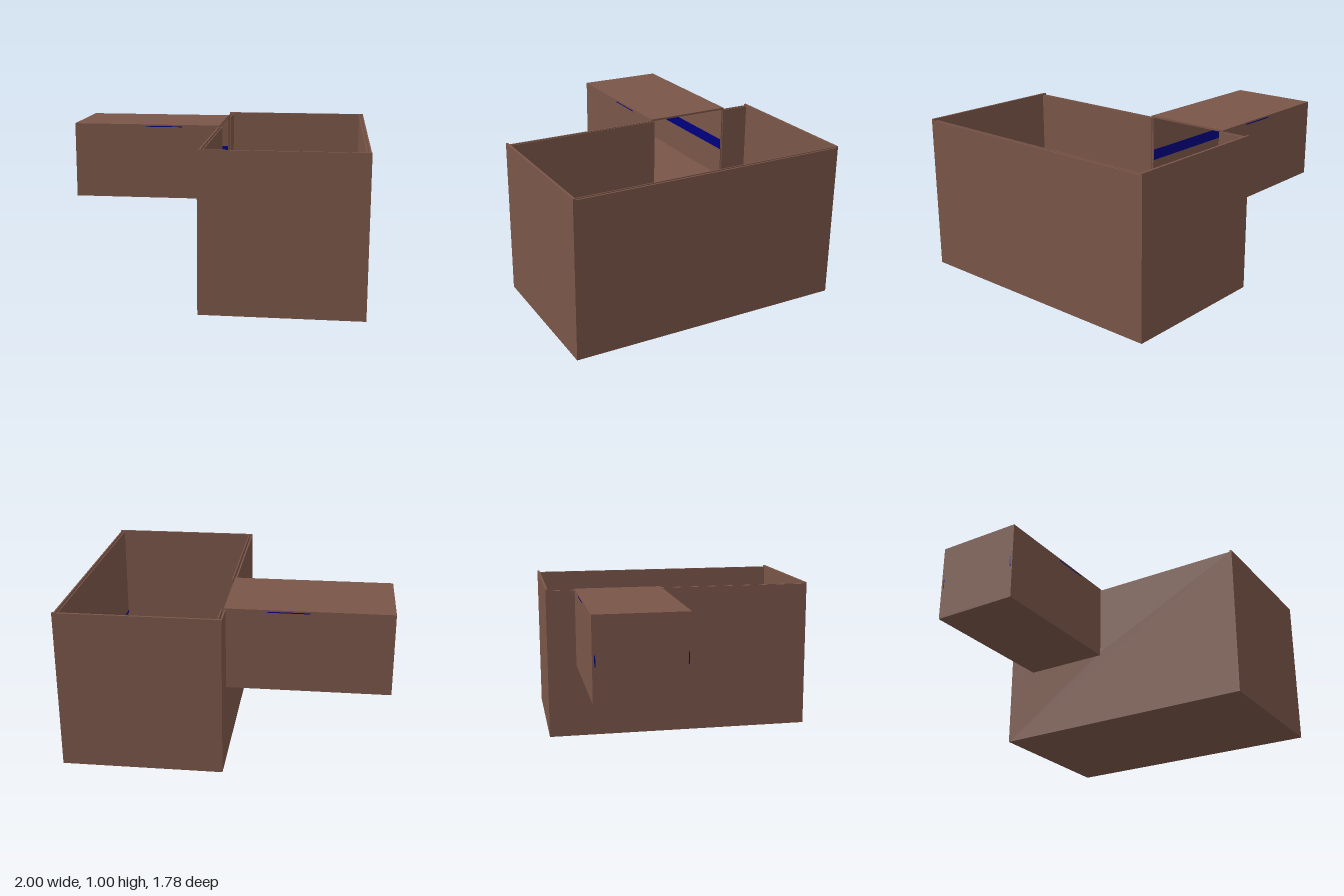
import * as THREE from 'three';

const brown = new THREE.MeshStandardMaterial({ color: 0x795548 });
const navy = new THREE.MeshStandardMaterial({ color: 0x000080 });

// Box given by its lower and upper corners
function block(parent, name, [x0, y0, z0], [x1, y1, z1], material = brown) {
  const mesh = new THREE.Mesh(new THREE.BoxGeometry(x1 - x0, y1 - y0, z1 - z0), material);
  mesh.position.set((x0 + x1) / 2, (y0 + y1) / 2, (z0 + z1) / 2);
  mesh.name = name;
  parent.add(mesh);
}

// Upright panel in the YZ plane, optionally notched from its top edge
function sidePanel(parent, name, x, thickness, depth, notch) {
  const points = [[-depth, 0], [depth, 0], [depth, 0.99]];
  if (notch) points.push([notch.z1, 0.99], [notch.z1, notch.y], [notch.z0, notch.y], [notch.z0, 0.99]);
  points.push([-depth, 0.99]);
  const shape = new THREE.Shape(points.map(([z, y]) => new THREE.Vector2(-z, y)));
  const geometry = new THREE.ExtrudeGeometry(shape, { depth: thickness, bevelEnabled: false });
  geometry.rotateY(Math.PI / 2);
  const mesh = new THREE.Mesh(geometry, brown);
  mesh.position.x = x;
  mesh.name = name;
  parent.add(mesh);
}

export function createModel() {
  const model = new THREE.Group();
  model.name = 'openBoxWithSideChamber';

  // Main open-topped box
  const box = new THREE.Group();
  box.name = 'mainBox';
  model.add(box);
  block(box, 'floor', [0.002, 0, -0.88], [0.998, 0.015, 0.88]);
  block(box, 'frontWall', [0, 0, 0.875], [1, 1, 0.89]);
  block(box, 'backWall', [0, 0, -0.89], [1, 1, -0.875]);

  // Double-skinned side walls with a narrow slot between the skins
  const doorway = { z0: -0.685, z1: -0.145, y: 0.5 };
  sidePanel(box, 'leftOuterSkin', 0.99, 0.01, 0.885);
  sidePanel(box, 'leftInnerSkin', 0.97, 0.007, 0.875);
  sidePanel(box, 'rightOuterSkin', 0, 0.01, 0.885, doorway);
  sidePanel(box, 'rightInnerSkin', 0.022, 0.007, 0.875, doorway);

  // Blue seams along the floor and the side walls
  for (const x of [0.415, 0.63]) {
    block(box, 'floorSeam', [x - 0.005, 0.01, -0.875], [x + 0.005, 0.017, 0.875], navy);
  }
  for (const x of [0.03, 0.969]) {
    block(box, 'wallSeam', [x - 0.002, 0.343, -0.875], [x + 0.002, 0.357, 0.875], navy);
  }

  // Closed side chamber opening into the box
  const chamber = new THREE.Group();
  chamber.name = 'sideChamber';
  model.add(chamber);
  block(chamber, 'chamberFloor', [-1, 0.487, -0.7], [0.01, 0.5, -0.13]);
  block(chamber, 'chamberRoof', [-1, 0.988, -0.7], [0.01, 1, -0.13]);
  block(chamber, 'chamberEnd', [-1, 0.49, -0.699], [-0.985, 0.995, -0.131]);
  block(chamber, 'chamberFrontWall', [-1, 0.49, -0.145], [0.01, 0.995, -0.13]);
  block(chamber, 'chamberBackWall', [-1, 0.49, -0.7], [0.01, 0.995, -0.685]);

  // Blue bands on the chamber's inner walls and under its roof
  for (const z of [-0.684, -0.146]) {
    block(chamber, 'wallBand', [-1.001, 0.7, z - 0.003], [0.005, 0.77, z + 0.003], navy);
  }
  block(chamber, 'roofBand', [-0.5, 0.984, -0.701], [-0.25, 0.99, -0.129], navy);

  return model;
}
